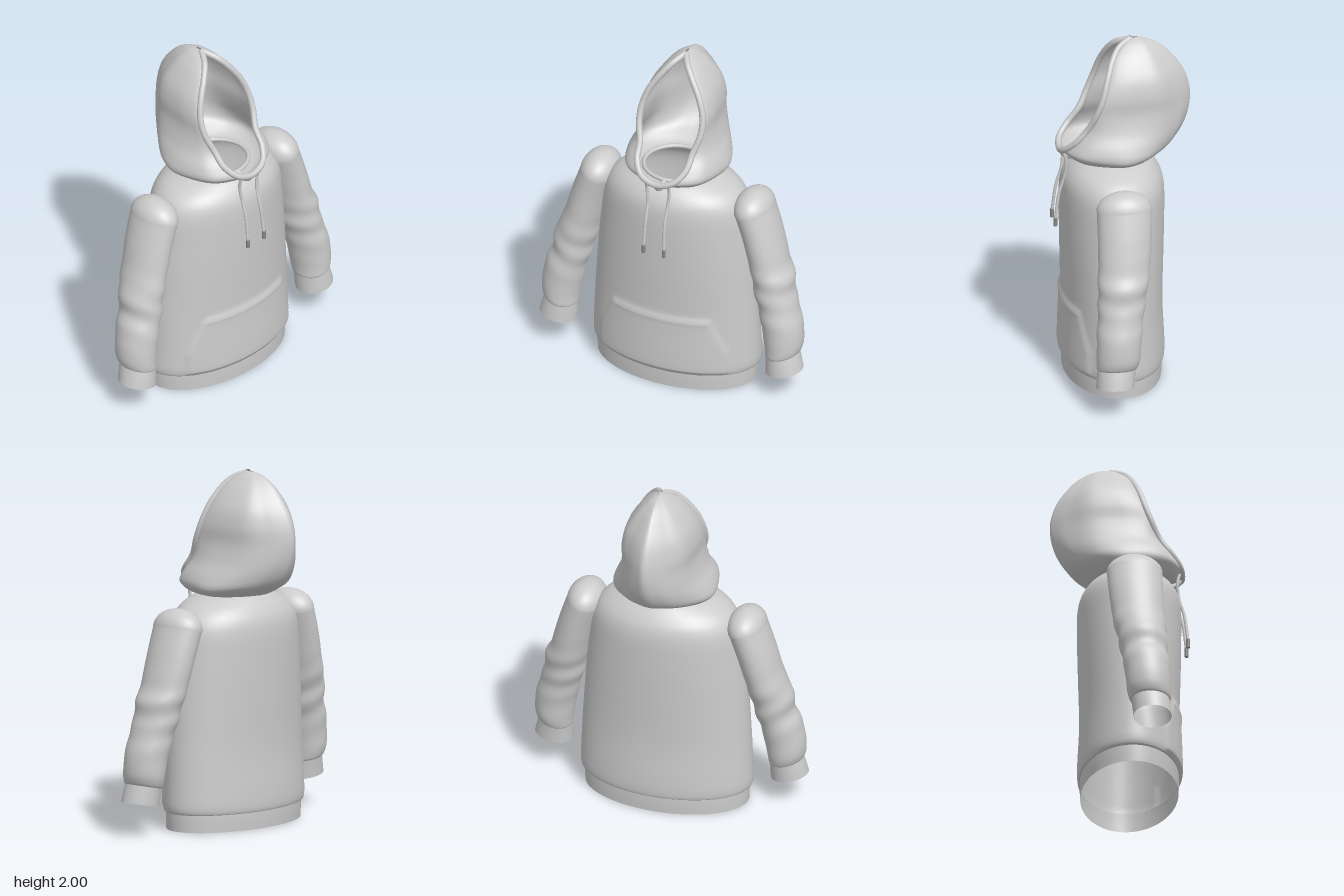
import * as THREE from 'three';

const V = (x, y, z) => new THREE.Vector3(x, y, z);

// Smoothly interpolates a table of numeric rows, u in 0..1
function sample(table, u) {
  const t = u * (table.length - 1);
  const i = Math.min(Math.floor(t), table.length - 2);
  const f = t - i;
  const row = (k) => table[Math.max(0, Math.min(table.length - 1, k))];
  return row(i).map((b, c) => {
    const a = row(i - 1)[c], d = row(i + 1)[c], e = row(i + 2)[c];
    return b + 0.5 * f * (d - a + f * (2 * a - 5 * b + 4 * d - e + f * (3 * (b - d) + e - a)));
  });
}

// Skins a list of cross-sections, ordered from bottom to top
function loft(sections, closed) {
  const n = sections[0].length, pos = [], idx = [];
  sections.forEach((s) => s.forEach((p) => pos.push(p.x, p.y, p.z)));
  for (let i = 0; i < sections.length - 1; i++) {
    for (let j = 0; j < (closed ? n : n - 1); j++) {
      const k = (j + 1) % n;
      const a = i * n + j, b = i * n + k, c = b + n, d = a + n;
      idx.push(a, b, c, a, c, d);
    }
  }
  const g = new THREE.BufferGeometry();
  g.setAttribute('position', new THREE.Float32BufferAttribute(pos, 3));
  g.setIndex(idx);
  g.computeVertexNormals();
  return g;
}

const ring = (n, fn) => Array.from({ length: n }, (_, j) => fn((j / n) * Math.PI * 2));
const rows = (n, fn) => Array.from({ length: n + 1 }, (_, i) => fn(i / n));
const smooth = THREE.MathUtils.smoothstep;

// Raised front pocket with slanted hand openings
function pocket(x, y) {
  const half = y > 0.25 ? 0.39 - ((y - 0.25) / 0.22) * 0.1 : 0.39;
  const side = 1 - smooth(Math.abs(x), half - 0.012, half + 0.012);
  const top = 1 - smooth(y, 0.455, 0.475);
  const lip = Math.exp(-(((y - 0.455) / 0.014) ** 2)) * 0.004;
  return side * top * smooth(y, 0.1, 0.13) * (0.011 + lip);
}

// Torso rows: height, half width, front z, back z
const HEM = [[0, 0.472, 0.33, -0.215], [0.06, 0.474, 0.332, -0.218], [0.115, 0.474, 0.332, -0.218]];
const TORSO = [
  [0.098, 0.474, 0.33, -0.217], [0.104, 0.489, 0.338, -0.227], [0.14, 0.497, 0.343, -0.232],
  [0.22, 0.495, 0.342, -0.231], [0.45, 0.485, 0.335, -0.221], [0.75, 0.465, 0.342, -0.228],
  [0.95, 0.446, 0.345, -0.233], [1.1, 0.428, 0.344, -0.233], [1.18, 0.4, 0.334, -0.22],
  [1.235, 0.35, 0.308, -0.19], [1.275, 0.275, 0.272, -0.155], [1.3, 0.21, 0.24, -0.125],
  [1.31, 0.19, 0.23, -0.11],
];
function torsoGeometry(table, steps, bump) {
  return loft(rows(steps, (u) => {
    const [y, a, zf, zb] = sample(table, u);
    return ring(160, (t) => {
      const x = a * Math.sin(t), c = Math.cos(t);
      const z = (zf + zb) / 2 + ((zf - zb) / 2) * c;
      return V(x, y, z + (bump && c > 0 ? pocket(x, y) : 0));
    });
  }), true);
}

// Sleeve rows: centre x, y, z, half width, half depth
const SLEEVE = [
  [0.672, 0.275, 0.13, 0.09, 0.106], [0.677, 0.29, 0.127, 0.1, 0.115], [0.68, 0.34, 0.12, 0.108, 0.122],
  [0.67, 0.43, 0.115, 0.113, 0.125], [0.648, 0.53, 0.106, 0.111, 0.129], [0.62, 0.62, 0.095, 0.109, 0.13],
  [0.602, 0.72, 0.085, 0.115, 0.14], [0.57, 0.82, 0.072, 0.106, 0.145], [0.52, 1.0, 0.06, 0.105, 0.151],
  [0.47, 1.15, 0.055, 0.105, 0.155],
];
const CUFF = [[0.69, 0.175, 0.14, 0.106, 0.107], [0.682, 0.23, 0.135, 0.1, 0.107], [0.672, 0.29, 0.128, 0.092, 0.107]];
function sleeveGeometry(table, steps, s, folds) {
  return loft(rows(steps, (u) => {
    const [cx, y, z, rx, rz] = sample(table, u);
    return ring(48, (t) => {
      // soft diagonal wrinkles around the elbow
      const w = folds * 0.005 * Math.sin(y * 42 + 1.5 * Math.sin(t)) * Math.exp(-(((y - 0.66) / 0.16) ** 2));
      const dx = (rx + w) * Math.sin(t);
      return V(s * cx + dx, y + s * 0.19 * dx, z + (rz + w) * Math.cos(t));
    });
  }), true);
}

// Hood rows: height, opening x, opening z, half width, z of widest point, back z
const HOOD = [
  [1.298, 0, 0.25, 0.19, 0.05, -0.12], [1.303, 0, 0.3, 0.235, 0.05, -0.165], [1.33, 0, 0.345, 0.28, 0.05, -0.215],
  [1.365, 0.085, 0.345, 0.292, 0.05, -0.275], [1.42, 0.14, 0.29, 0.275, 0.05, -0.325],
  [1.5, 0.158, 0.22, 0.237, 0.02, -0.365], [1.6, 0.187, 0.168, 0.212, 0, -0.385],
  [1.7, 0.187, 0.13, 0.209, -0.02, -0.377], [1.8, 0.152, 0.1, 0.182, -0.04, -0.337],
  [1.9, 0.092, 0.062, 0.118, -0.05, -0.26], [1.95, 0.048, 0.02, 0.07, -0.06, -0.2],
  [1.975, 0.02, -0.015, 0.038, -0.07, -0.15], [1.99, 0, -0.05, 0.006, -0.07, -0.09],
];
function hoodGeometry() {
  return loft(rows(72, (u) => {
    const [y, x0, zr, w, zw, zb] = sample(HOOD, u);
    const xr = Math.max(0, x0), d = zb - zw;
    const fold = 0.06 * smooth(y, 1.45, 1.75); // hollow beside the centre ridge
    const half = [
      [xr, zr], [xr + (w - xr) * 0.7, zw + (zr - zw) * 0.68], [w, zw], [w * 0.89, zw + d * 0.47],
      [w * 0.52, zw + d * (0.81 - fold)], [w * 0.22, zw + d * (0.95 - fold * 0.4)],
    ];
    const pts = [...half, [0, zb], ...half.slice().reverse().map(([x, z]) => [-x, z])];
    return rows(84, (v) => {
      const [x, z] = sample(pts, v);
      return V(x, y, z);
    });
  }), false);
}

export function createModel() {
  const group = new THREE.Group();
  const fabric = new THREE.MeshStandardMaterial({ color: 0xcccccc, side: THREE.DoubleSide });
  fabric.name = 'grey fabric';
  const tipMat = new THREE.MeshStandardMaterial({ color: 0x888888 });
  tipMat.name = 'dark grey tip';
  const add = (name, geo, mat = fabric) => {
    const m = new THREE.Mesh(geo, mat);
    m.name = name;
    group.add(m);
    return m;
  };
  const tube = (pts, r, n, closed = false) =>
    new THREE.TubeGeometry(new THREE.CatmullRomCurve3(pts, closed), n, r, 10, closed);

  // Torso and hem
  add('torso', torsoGeometry(TORSO, 180, true));
  add('hemBand', torsoGeometry(HEM, 8, false));

  // Sleeves, cuffs and rounded shoulders
  for (const s of [1, -1]) {
    const side = s > 0 ? 'left' : 'right';
    add(side + 'Sleeve', sleeveGeometry(SLEEVE, 70, s, 1));
    add(side + 'Cuff', sleeveGeometry(CUFF, 8, s, 0));
    const cap = add(side + 'Shoulder', new THREE.SphereGeometry(1, 40, 16, 0, Math.PI * 2, 0, Math.PI / 2));
    cap.scale.set(0.108, 0.112, 0.157);
    cap.position.set(s * 0.47, 1.148, 0.055);
    cap.rotation.z = s * 0.19;
  }

  // Hood with its rolled edge
  add('hood', hoodGeometry());
  const edge = [
    [0.045, 1.95, 0.02], [0.092, 1.895, 0.062], [0.152, 1.8, 0.1], [0.185, 1.7, 0.13], [0.187, 1.61, 0.165],
    [0.16, 1.51, 0.215], [0.148, 1.43, 0.28], [0.095, 1.37, 0.335],
  ];
  const right = edge.slice().reverse().map(([x, y, z]) => V(-x, y, z));
  add('hoodEdge', tube(
    [V(0, 1.983, -0.05), ...edge.map((p) => V(...p)), V(0, 1.342, 0.35), ...right, V(0, 1.983, -0.05)], 0.018, 160));

  // Neck seam and the small overlap at the throat
  add('neckSeam', tube(ring(24, (t) => V(0.19 * Math.sin(t), 1.308, 0.06 + 0.175 * Math.cos(t))), 0.012, 80, true));
  add('throatSeam', tube([V(0, 1.34, 0.345), V(0, 1.305, 0.32), V(0, 1.29, 0.28), V(0, 1.3, 0.235)], 0.018, 16));

  // Drawstrings with tips
  for (const s of [1, -1]) {
    add('drawstring', tube([
      V(s * 0.066, 1.345, 0.335), V(s * 0.068, 1.29, 0.322), V(s * 0.06, 1.2, 0.328),
      V(s * 0.058, 1.09, 0.36), V(s * 0.062, 0.94, 0.38),
    ], 0.009, 32));
    add('drawstringTip', new THREE.CylinderGeometry(0.011, 0.011, 0.05, 12), tipMat).position.set(s * 0.062, 0.92, 0.381);
  }
  return group;
}
